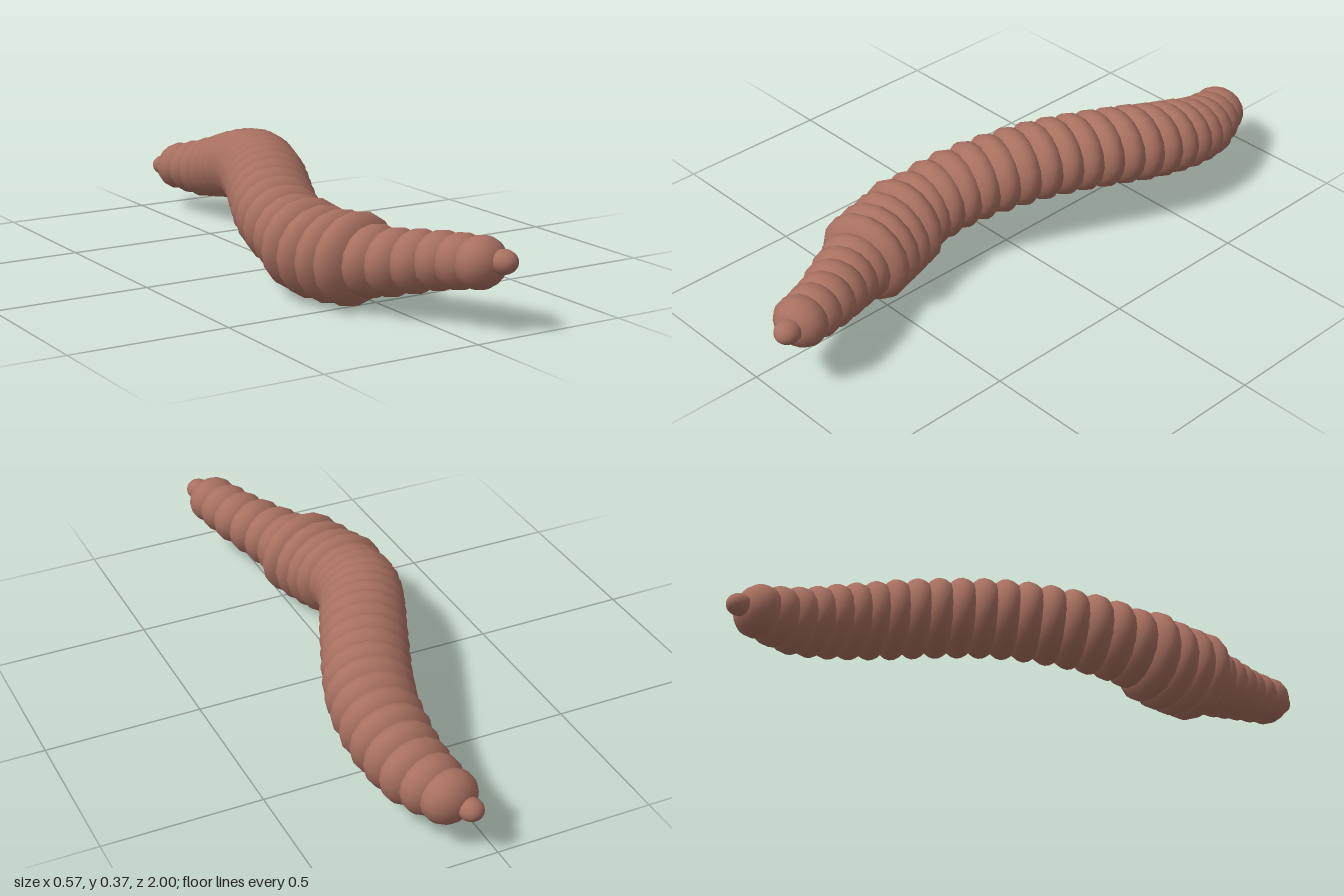
import * as THREE from 'three';

const V = (x, y, z) => new THREE.Vector3(x, y, z);

export function createModel() {
  const worm = new THREE.Group();
  worm.name = 'worm';
  const skin = new THREE.MeshStandardMaterial({ color: 0xa87060 });
  skin.name = 'earthy pink skin';

  // Winding body centreline as [x, y], evenly spaced in z from head to tail
  const stations = [[0.087, 0.198], [0.042, 0.182], [-0.028, 0.158], [-0.08, 0.147],
    [-0.118, 0.145], [-0.13, 0.174], [-0.108, 0.204], [-0.058, 0.23], [0, 0.248],
    [0.055, 0.25], [0.108, 0.243], [0.146, 0.226], [0.156, 0.2], [0.142, 0.17], [0.102, 0.157]];
  const path = new THREE.CatmullRomCurve3(
    stations.map(([x, y], k) => V(x, y, 0.89 - (k * 1.78) / (stations.length - 1))), false, 'catmullrom');

  // Body thickness by [position along the body, radius]
  const thickness = [[0, 0.078], [0.07, 0.088], [0.14, 0.102], [0.2, 0.115], [0.25, 0.125],
    [0.75, 0.125], [0.85, 0.118], [0.93, 0.104], [1, 0.082]];
  const radiusAt = (t) => {
    const k = Math.max(1, thickness.findIndex((p) => p[0] >= t));
    const [a, b] = [thickness[k - 1], thickness[k]];
    return THREE.MathUtils.mapLinear(t, a[0], b[0], a[1], b[1]);
  };

  // Unit ball with its pole along z; each ring is a little wider than tall
  const ball = new THREE.SphereGeometry(1, 16, 14).rotateX(Math.PI / 2);
  const addBall = (name, position, t, radius, halfLength) => {
    const mesh = new THREE.Mesh(ball, skin);
    mesh.name = name;
    mesh.position.copy(position);
    mesh.scale.set(radius * 1.11, radius, halfLength);
    // Rings stay upright and turn partly into the bend
    const tangent = path.getTangent(t);
    mesh.rotation.y = 0.6 * Math.atan(tangent.x / tangent.z);
    worm.add(mesh);
  };

  // Overlapping body rings with a thicker saddle band
  const last = 28;
  for (let i = 0; i <= last; i++) {
    const t = i / last;
    const saddle = i >= 6 && i <= 9;
    addBall(saddle ? 'saddleRing' : 'bodyRing', path.getPoint(t), t,
      saddle ? 0.142 : radiusAt(t), 0.07);
  }

  // Small tips at both ends
  addBall('headTip', V(0.115, 0.211, 0.958), 0, 0.036, 0.042);
  addBall('tailTip', V(0.07, 0.15, -0.96), 1, 0.034, 0.04);
  return worm;
}
